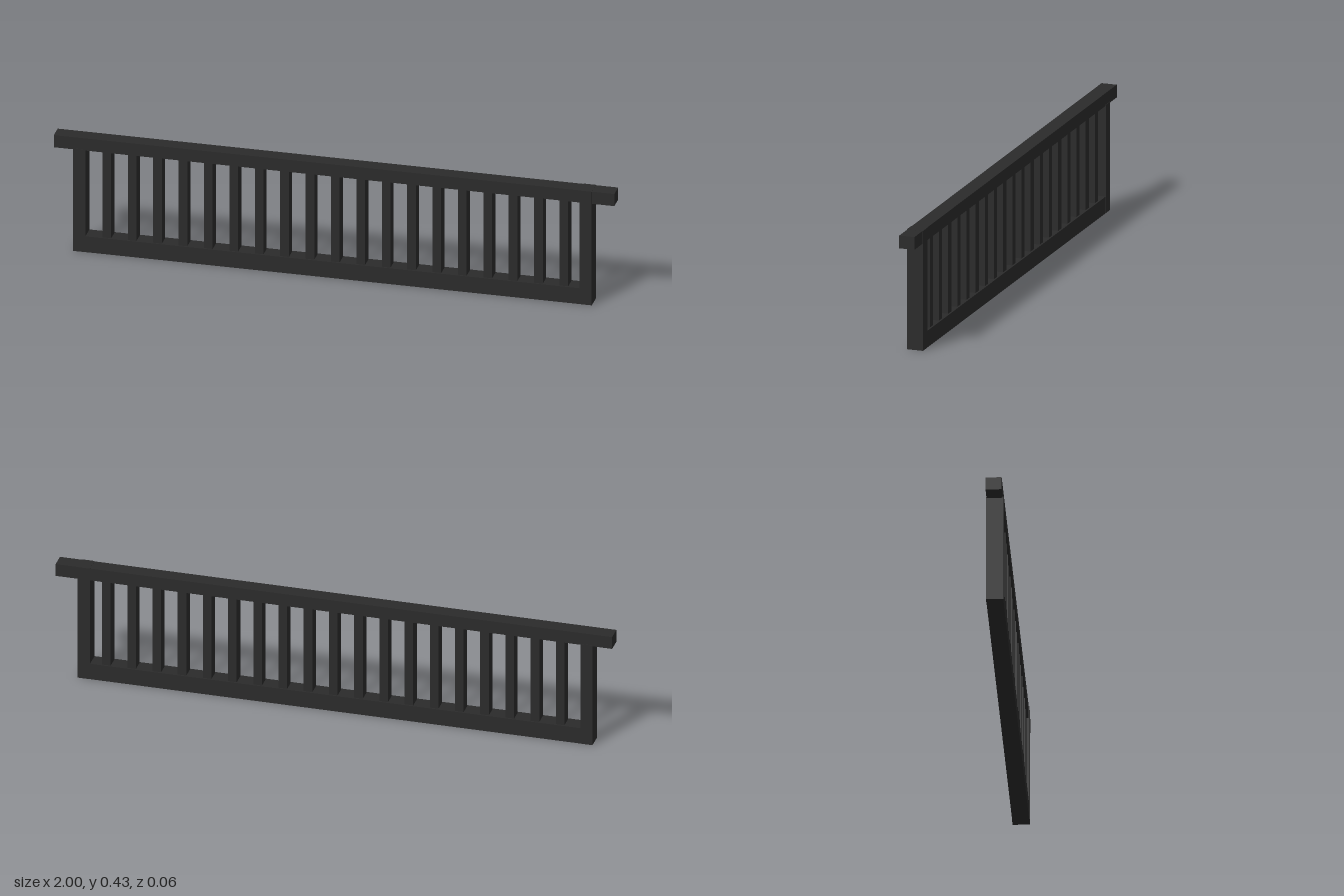
import * as THREE from 'three';

export function createModel() {
  const model = new THREE.Group();
  model.name = 'railing';
  const iron = new THREE.MeshStandardMaterial({ color: 0x2b2b2b });
  iron.name = 'dark iron';

  // Box given by its limits on each axis
  const bar = (name, x0, x1, y0, y1, depth) => {
    const mesh = new THREE.Mesh(new THREE.BoxGeometry(x1 - x0, y1 - y0, depth), iron);
    mesh.position.set((x0 + x1) / 2, (y0 + y1) / 2, 0);
    mesh.name = name;
    model.add(mesh);
  };

  // Handrail overhanging both ends, and the rail at the foot
  bar('topRail', -1, 1, 0.386, 0.432, 0.056);
  bar('bottomRail', -0.929, 0.919, 0, 0.06, 0.059);

  // End posts; the left one runs up through the handrail
  bar('rightPost', -0.93, -0.887, 0, 0.39, 0.06);
  bar('leftPost', 0.876, 0.92, 0, 0.4325, 0.06);

  // Evenly spaced balusters
  const count = 19, first = -0.812, step = 0.0906, half = 0.0155;
  for (let i = 0; i < count; i++) {
    const x = first + i * step;
    bar('baluster', x - half, x + half, 0.055, 0.39, 0.046);
  }
  return model;
}
